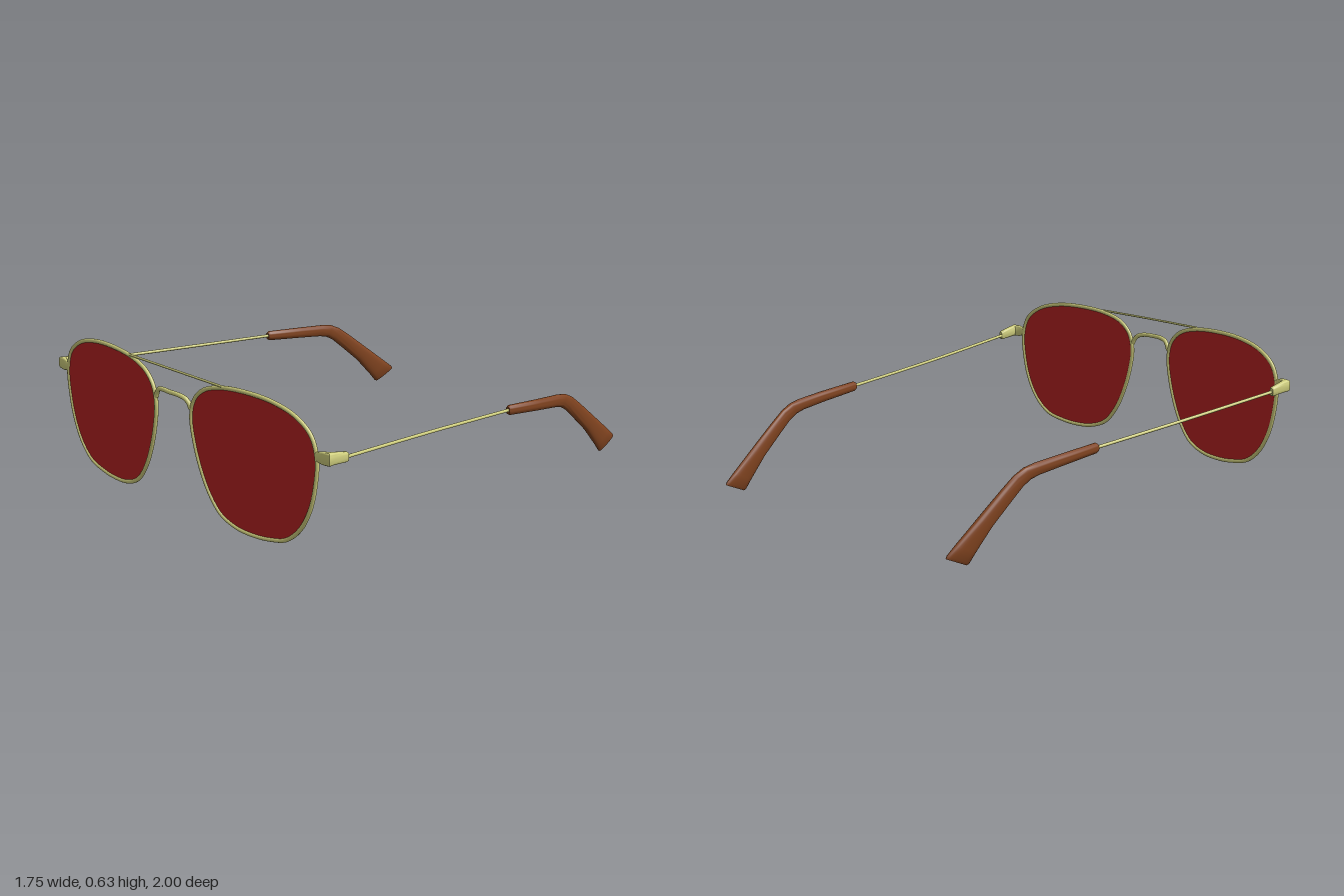
import * as THREE from 'three';
import { toCreasedNormals } from 'three/addons/utils/BufferGeometryUtils.js';

const gold = new THREE.MeshStandardMaterial({ color: 0xd0cf7e });
gold.name = 'pale gold metal';
const red = new THREE.MeshStandardMaterial({ color: 0xb82222 });
red.name = 'red lens';
const brown = new THREE.MeshStandardMaterial({ color: 0x80431f });
brown.name = 'brown tip';

const V = (x, y, z) => new THREE.Vector3(x, y, z);
// The front is swept back slightly towards the sides
const frontZ = (x) => 0.981 - 0.08 * Math.abs(x);

// Outer outline of one eye, [x, y]
const OUTLINE = [
  [0.105, 0.46], [0.125, 0.535], [0.18, 0.588], [0.28, 0.62], [0.43, 0.632], [0.58, 0.623],
  [0.70, 0.59], [0.78, 0.53], [0.81, 0.44], [0.80, 0.32], [0.77, 0.21], [0.715, 0.115],
  [0.64, 0.053], [0.55, 0.03], [0.46, 0.022], [0.36, 0.03], [0.27, 0.066], [0.205, 0.14],
  [0.155, 0.24], [0.118, 0.36],
];
const CX = 0.4575, CY = 0.327;

function eyeCurve(s, scale) {
  return new THREE.CatmullRomCurve3(OUTLINE.map(([x, y]) => {
    const px = CX + (x - CX) * scale;
    return V(s * px, CY + (y - CY) * scale, frontZ(px));
  }), true);
}

function add(group, name, geometry, material) {
  const mesh = new THREE.Mesh(geometry, material);
  mesh.name = name;
  group.add(mesh);
}

function wire(points, radius, segments) {
  const curve = new THREE.CatmullRomCurve3(points);
  return new THREE.TubeGeometry(curve, segments, radius, 10, false);
}

// Capped loft through rings c + u cos + v sin; power below 1 makes rings boxier
function loft(sections, power = 1, n = 20) {
  const pos = [], index = [];
  const bend = (t) => Math.sign(t) * Math.pow(Math.abs(t), power);
  for (const { c, u, v } of sections) {
    for (let j = 0; j < n; j++) {
      const a = (j / n) * Math.PI * 2;
      const p = c.clone().addScaledVector(u, bend(Math.cos(a))).addScaledVector(v, bend(Math.sin(a)));
      pos.push(p.x, p.y, p.z);
    }
  }
  const first = sections[0], last = sections[sections.length - 1];
  pos.push(...first.c.toArray(), ...last.c.toArray());
  const start = sections.length * n, end = start + 1, lastRing = start - n;
  const along = sections[1].c.clone().sub(first.c);
  const flip = first.u.clone().cross(first.v).dot(along) < 0;
  const tri = (a, b, c) => (flip ? index.push(a, c, b) : index.push(a, b, c));
  for (let j = 0; j < n; j++) {
    const k = (j + 1) % n;
    for (let i = 0; i < sections.length - 1; i++) {
      const a = i * n + j, b = i * n + k;
      tri(a, b, a + n);
      tri(b, b + n, a + n);
    }
    tri(start, k, j);
    tri(end, lastRing + j, lastRing + k);
  }
  const g = new THREE.BufferGeometry();
  g.setAttribute('position', new THREE.Float32BufferAttribute(pos, 3));
  g.setIndex(index);
  return toCreasedNormals(g, 0.8);
}

function lens(s) {
  const pts = eyeCurve(s, 0.95).getPoints(90).slice(0, -1);
  const shape = new THREE.Shape(pts.map((p) => new THREE.Vector2(p.x, p.y)));
  const g = new THREE.ExtrudeGeometry(shape, { depth: 0.006, bevelEnabled: false });
  const p = g.attributes.position;
  for (let i = 0; i < p.count; i++) p.setZ(i, p.getZ(i) - 0.003 + frontZ(p.getX(i)));
  g.computeVertexNormals();
  return g;
}

// Ear tip sections: upper [z, y], lower [z, y], half width
const TIP = [
  [[-0.218, 0.376], [-0.218, 0.344], 0.011],
  [[-0.228, 0.382], [-0.228, 0.338], 0.015],
  [[-0.42, 0.366], [-0.41, 0.317], 0.016],
  [[-0.55, 0.354], [-0.53, 0.302], 0.016],
  [[-0.605, 0.344], [-0.575, 0.291], 0.016],
  [[-0.655, 0.32], [-0.615, 0.268], 0.016],
  [[-0.72, 0.272], [-0.67, 0.222], 0.017],
  [[-0.84, 0.178], [-0.77, 0.135], 0.018],
  [[-0.95, 0.092], [-0.855, 0.042], 0.017],
  [[-0.99, 0.06], [-0.884, 0.006], 0.013],
  [[-0.998, 0.048], [-0.895, 0.001], 0.007],
];
// Tip centre line in plan; the left arm bends inward a little later
const tipX = {
  '1': (z) => 0.761 - 0.045 * Math.pow(Math.max(0, (-z - 0.45) / 0.55), 1.1),
  '-1': (z) => 0.775 - 0.082 * (-z - 0.22),
};

function buildSide(s) {
  const side = new THREE.Group();
  side.name = s > 0 ? 'leftSide' : 'rightSide';

  add(side, 'rim', new THREE.TubeGeometry(eyeCurve(s, 0.974), 140, 0.009, 10, true), gold);
  add(side, 'lens', lens(s), red);

  // End piece wraps round from the rim to the hinge
  const piece = [
    [0.797, 0.45, 0.918, 0.018, 0, 0.008],
    [0.815, 0.45, 0.917, 0.022, 0, 0.009],
    [0.832, 0.45, 0.914, 0.027, 0.002, 0.010],
    [0.858, 0.45, 0.908, 0.027, 0.016, 0.011],
    [0.857, 0.448, 0.885, 0.025, 0.015, 0],
    [0.856, 0.438, 0.815, 0.021, 0.012, 0],
    [0.856, 0.437, 0.808, 0.016, 0.009, 0],
  ].map(([x, y, z, h, vx, vz]) => ({ c: V(s * x, y, z), u: V(0, h, 0), v: V(s * vx, 0, vz) }));
  add(side, 'endPiece', loft(piece, 0.6), gold);

  const x = tipX[s];
  const mid = s > 0 ? 0.797 : 0.815;
  add(side, 'templeWire',
    wire([V(s * 0.855, 0.437, 0.83), V(s * mid, 0.396, 0.28), V(s * x(-0.24), 0.36, -0.24)], 0.007, 24), gold);

  const tip = TIP.map(([[z1, y1], [z2, y2], w]) => {
    const z = (z1 + z2) / 2;
    const c = V(s * x(z), (y1 + y2) / 2, z);
    const top = V(s * x(z1), y1, z1);
    return { c, u: V(w, 0, 0), v: top.sub(c) };
  });
  add(side, 'earTip', loft(tip, 0.85, 24), brown);
  return side;
}

export function createModel() {
  const model = new THREE.Group();
  model.name = 'sunglasses';
  for (const s of [1, -1]) model.add(buildSide(s));

  // Thin straight brow bar
  add(model, 'browBar', wire([V(-0.3, 0.621, 0.962), V(0, 0.622, 0.964), V(0.3, 0.621, 0.962)], 0.005, 12), gold);

  // Arched bridge over the nose
  const half = [[0.112, 0.485, 0.972], [0.102, 0.508, 0.974], [0.085, 0.525, 0.979], [0.05, 0.534, 0.986]];
  const arch = [
    ...half.map(([x, y, z]) => V(-x, y, z)), V(0, 0.535, 0.99),
    ...half.slice().reverse().map(([x, y, z]) => V(x, y, z)),
  ];
  add(model, 'bridge', wire(arch, 0.010, 40), gold);
  return model;
}
